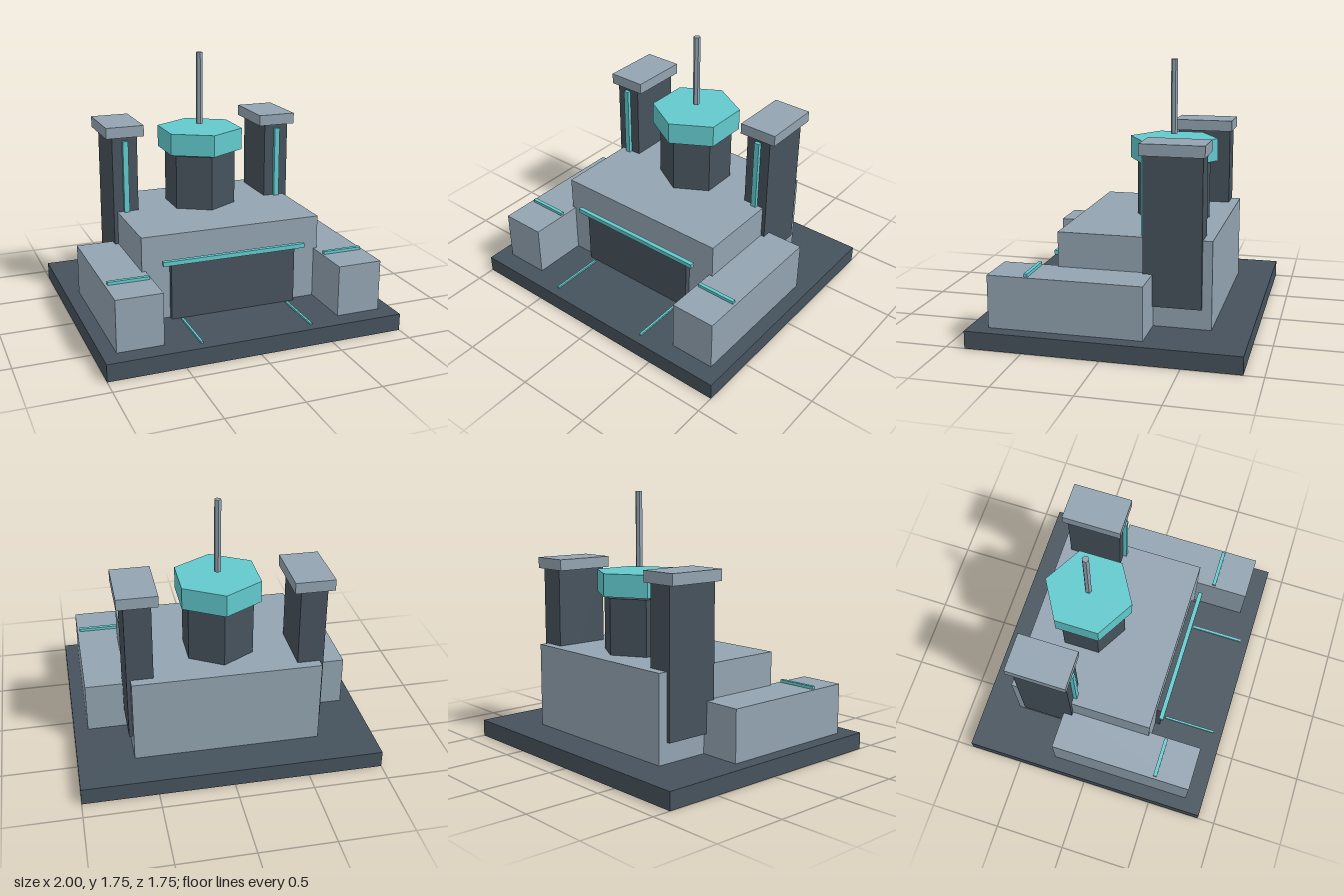
import * as THREE from 'three';

export function createModel() {
  const model = new THREE.Group();
  model.name = 'fortress';

  const material = (name, color) => {
    const m = new THREE.MeshStandardMaterial({ color });
    m.name = name;
    return m;
  };
  const dark = material('dark slate', 0x46525c);
  const light = material('light grey', 0x92a3b0);
  const glow = material('cyan glow', 0x62c9cd);

  const add = (name, geometry, mat, x, y, z) => {
    const mesh = new THREE.Mesh(geometry, mat);
    mesh.name = name;
    mesh.position.set(x, y, z);
    model.add(mesh);
  };

  // Box given by its extents on each axis
  const box = (name, mat, [x0, x1], [y0, y1], [z0, z1]) =>
    add(name, new THREE.BoxGeometry(x1 - x0, y1 - y0, z1 - z0), mat,
      (x0 + x1) / 2, (y0 + y1) / 2, (z0 + z1) / 2);

  // Same box on the left and, mirrored, on the right
  const pair = (name, mat, [x0, x1], y, z) => {
    box(name + 'Left', mat, [x0, x1], y, z);
    box(name + 'Right', mat, [-x1, -x0], y, z);
  };

  // Upright six-sided prism with flat facets, standing on the tower axis
  const hexPrism = (name, mat, radius, y0, y1) => {
    const g = new THREE.CylinderGeometry(radius, radius, y1 - y0, 6).toNonIndexed();
    g.computeVertexNormals();
    add(name, g, mat, 0, (y0 + y1) / 2, -0.25);
  };

  // Plinth and main hall
  box('base', dark, [-1, 1], [0, 0.115], [-0.875, 0.875]);
  box('mainHall', light, [-0.625, 0.625], [0.115, 0.69], [-0.625, 0.375]);

  // Gate with its lit lintel and floor guides
  box('gate', dark, [-0.4375, 0.4375], [0.115, 0.49], [0.3, 0.4125]);
  box('lintelLight', glow, [-0.5, 0.5], [0.5, 0.53], [0.41, 0.44]);
  pair('floorLight', glow, [0.3675, 0.3825], [0.115, 0.127], [0.4375, 0.8125]);

  // Side wings
  pair('wing', light, [0.6, 0.905], [0.115, 0.46], [-0.25, 0.75]);
  pair('wingLight', glow, [0.6125, 0.8875], [0.46, 0.48], [0.4875, 0.5125]);

  // Side towers
  pair('tower', dark, [0.475, 0.65], [0.25, 1.215], [-0.5625, -0.1875]);
  pair('towerCap', light, [0.43, 0.693], [1.215, 1.29], [-0.58, -0.17]);
  pair('towerLight', glow, [0.544, 0.581], [0.5, 1.19], [-0.19, -0.162]);

  // Central turret, lit crown and mast
  hexPrism('turret', dark, 0.25, 0.69, 1.065);
  hexPrism('crown', glow, 0.3, 1.08, 1.23);
  hexPrism('mast', light, 0.023, 1.253, 1.753);

  return model;
}
